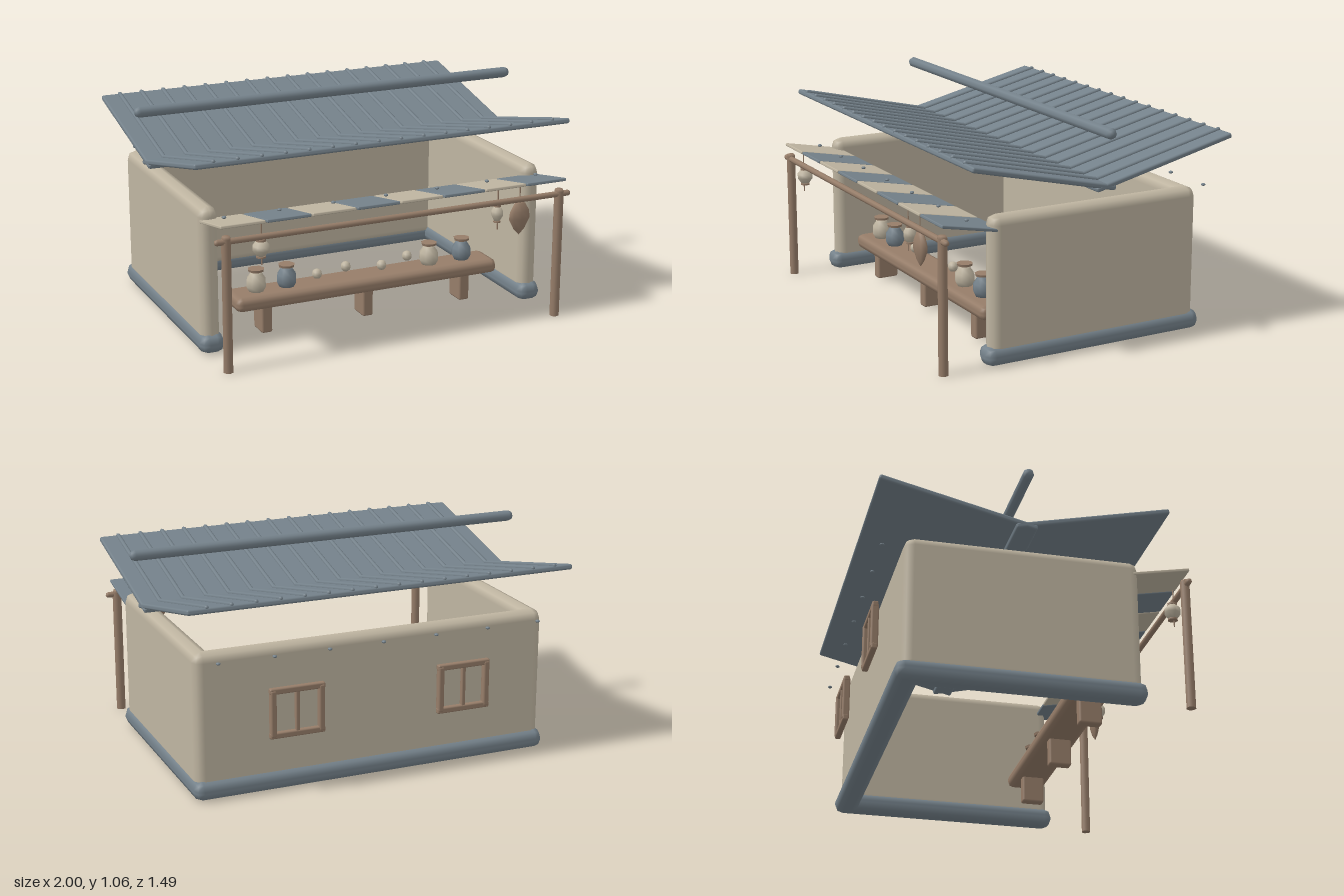
import * as THREE from 'three';
import { RoundedBoxGeometry } from 'three/addons/geometries/RoundedBoxGeometry.js';

function material(name, color) {
  const m = new THREE.MeshStandardMaterial({ color });
  m.name = name;
  return m;
}

export function createModel() {
  const plaster = material('beige plaster', 0xbfb5a1);
  const slate = material('slate grey', 0x75828b);
  const wood = material('brown wood', 0x967d69);
  const model = new THREE.Group();
  model.name = 'marketStall';

  function add(name, geometry, mat, x, y, z, parent = model) {
    const mesh = new THREE.Mesh(geometry, mat);
    mesh.name = name;
    mesh.position.set(x, y, z);
    parent.add(mesh);
    return mesh;
  }
  function group(name, x = 0, y = 0, z = 0) {
    const g = new THREE.Group();
    g.name = name;
    g.position.set(x, y, z);
    model.add(g);
    return g;
  }
  // Chamfered box
  const box = (w, h, d, r) => new RoundedBoxGeometry(w, h, d, 1, r);
  // Bar with tapered ends, total length len, along x or z
  function bar(len, r, axis) {
    const g = new THREE.CapsuleGeometry(r, len - 2 * r, 2, 8);
    return axis === 'x' ? g.rotateZ(Math.PI / 2) : g.rotateX(Math.PI / 2);
  }
  const lathe = (pts, sides = 8) =>
    new THREE.LatheGeometry(pts.map(([r, y]) => new THREE.Vector2(r, y)), sides);

  // Three walls on plinth beams, open at the front
  for (const s of [-1, 1]) {
    add('sideWall', box(0.095, 0.655, 1.09, 0.045), plaster, s * 0.835, 0.3725, -0.055);
    add('sidePlinth', box(0.12, 0.095, 1.145, 0.042), slate, s * 0.835, 0.0475, -0.0575);
  }
  add('backWall', box(1.765, 0.655, 0.095, 0.045), plaster, 0, 0.3725, -0.5525);
  add('backPlinth', box(1.79, 0.095, 0.12, 0.042), slate, 0, 0.0475, -0.57);

  // Two ribbed roof slopes meeting in a valley
  for (const s of [-1, 1]) {
    const slope = group('roofSlope', 0, 0.858, -0.055 + s * 0.315);
    slope.rotation.x = -s * 0.23;
    add('roofSheet', box(1.905, 0.026, 0.75, 0.01), slate, 0, 0, 0, slope);
    for (let i = 0; i < 16; i++) {
      add('roofRib', bar(0.75, 0.011, 'z'), slate, -0.859 + i * 0.11453, 0.014, 0, slope);
    }
  }
  add('ridgePole', bar(2, 0.027, 'x'), slate, 0, 1.031, -0.055);

  // Awning of alternating panels
  for (let i = 0; i < 8; i++) {
    const panel = add('awningPanel', box(0.213, 0.015, 0.3, 0.005), i % 2 ? slate : plaster,
      -0.77 + i * 0.22, 0.66, 0.587);
    panel.rotation.x = -0.195;
  }

  // Fixings along the awning and the back eaves
  const stud = new THREE.SphereGeometry(0.011, 8, 6).scale(1, 0.6, 1);
  for (let i = 0; i < 7; i++) {
    const x = -0.8 + i * 0.2667;
    add('awningStud', stud, slate, x, 0.68, 0.575);
    add('eaveStud', stud, slate, x, 0.68, -0.69);
  }

  // Posts and the hanging rail
  for (const s of [-1, 1]) {
    add('post', lathe([[0, 0], [0.023, 0], [0.023, 0], [0.023, 0.63], [0.018, 0.642], [0, 0.642]]),
      wood, s * 0.847, 0, 0.718);
  }
  add('hangingRail', bar(1.81, 0.015, 'x'), wood, 0, 0.618, 0.722);

  // Counter with three legs
  add('counterTop', box(1.375, 0.072, 0.19, 0.03), wood, 0, 0.181, 0.34);
  for (const x of [-0.525, 0, 0.525]) {
    add('counterLeg', box(0.055, 0.15, 0.11, 0.01), wood, x, 0.09, 0.34);
  }

  // Lidded jars
  const jarBody = lathe([[0, 0], [0.036, 0], [0.049, 0.025], [0.047, 0.06], [0.03, 0.085],
    [0.026, 0.1], [0, 0.1]]);
  const jarLid = new THREE.CylinderGeometry(0.04, 0.037, 0.012, 8);
  [[-0.56, plaster], [-0.405, slate], [0.35, plaster], [0.53, slate]].forEach(([x, mat]) => {
    const jar = group('jar', x, 0.217, 0.345);
    add('jarBody', jarBody, mat, 0, 0, 0, jar);
    add('jarLid', jarLid, wood, 0, 0.104, 0, jar);
  });

  // Small round goods
  for (const [x, y, z] of [[-0.235, 0.242, 0.315], [-0.105, 0.275, 0.36],
    [0.1, 0.242, 0.33], [0.23, 0.275, 0.345]]) {
    add('roundGood', new THREE.SphereGeometry(0.025, 8, 6), plaster, x, y, z);
  }

  // Goods hanging from the rail
  function cord(x, top, bottom) {
    add('cord', new THREE.CylinderGeometry(0.003, 0.003, top - bottom, 6), wood, x, (top + bottom) / 2, 0.718);
  }
  for (const [x, r] of [[-0.68, 0.04], [0.515, 0.029]]) {
    add('lantern', lathe([[0, -0.035], [r * 0.5, -0.035], [r, -0.008], [r, 0.012],
      [r * 0.5, 0.035], [0, 0.035]]), plaster, x, 0.562, 0.712);
    add('lanternCap', new THREE.CylinderGeometry(r * 0.6, r * 0.6, 0.01, 8), wood, x, 0.6, 0.712);
    add('lanternFoot', new THREE.CylinderGeometry(r * 0.6, r * 0.6, 0.008, 8), wood, x, 0.522, 0.712);
    cord(x, 0.68, 0.485);
  }
  const pouch = lathe([[0, -0.08], [0.03, -0.05], [0.056, 0], [0.052, 0.035], [0.03, 0.075], [0, 0.08]]);
  add('hangingPouch', pouch.scale(1, 1, 0.42), wood, 0.633, 0.523, 0.718);
  cord(0.633, 0.68, 0.59);

  // Window frames at the back
  for (const s of [-1, 1]) {
    const frame = group('windowFrame', s * 0.42, 0.403, -0.672);
    for (const k of [-1, 1]) {
      add('windowRail', box(0.27, 0.03, 0.03, 0.008), wood, 0, k * 0.106, 0, frame);
      add('windowStile', box(0.03, 0.225, 0.036, 0.009), wood, k * 0.118, 0, 0, frame);
    }
    add('windowMullion', box(0.02, 0.2, 0.025, 0.006), wood, 0, 0, 0, frame);
  }
  return model;
}
